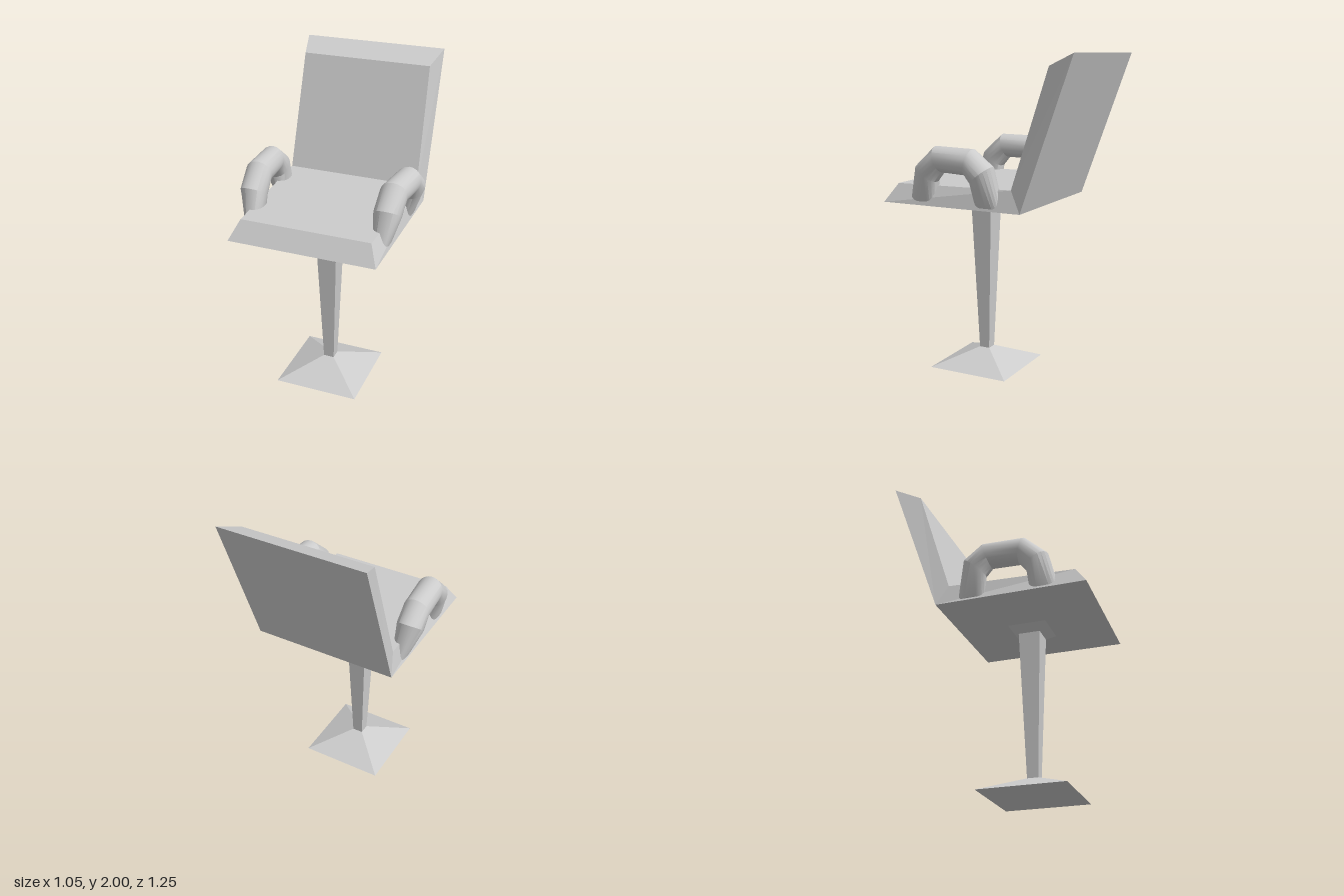
import * as THREE from 'three';
import { toCreasedNormals } from 'three/addons/utils/BufferGeometryUtils.js';

// Skin a stack of equal-sized rings (counter-clockwise about the direction of travel), capped at both ends.
function loft(rings) {
  const n = rings[0].length;
  const index = [];
  for (let r = 0; r < rings.length - 1; r++) {
    for (let i = 0; i < n; i++) {
      const a = r * n + i, b = r * n + (i + 1) % n;
      index.push(a, b, b + n, a, b + n, a + n);
    }
  }
  const last = (rings.length - 1) * n;
  for (let i = 1; i < n - 1; i++) {
    index.push(0, i + 1, i, last, last + i, last + i + 1);
  }
  const geometry = new THREE.BufferGeometry();
  geometry.setAttribute('position', new THREE.Float32BufferAttribute(rings.flat(2), 3));
  geometry.setIndex(index);
  return geometry;
}

// Four-cornered ring from a front edge and a rear edge, each given as [halfWidth, y, z].
function quad([fx, fy, fz], [rx, ry, rz]) {
  return [[fx, fy, fz], [rx, ry, rz], [-rx, ry, rz], [-fx, fy, fz]];
}

// Signed power: below 1 it squares off a circle.
const soften = (v, power) => Math.sign(v) * Math.abs(v) ** power;

export function createModel() {
  const model = new THREE.Group();
  const grey = new THREE.MeshStandardMaterial({ color: 0xcccccc });
  const flat = new THREE.MeshStandardMaterial({ color: 0xcccccc, flatShading: true });

  function add(name, geometry, material) {
    const mesh = new THREE.Mesh(geometry, material);
    mesh.name = name;
    model.add(mesh);
  }

  // Square foot, column and flared neck under the seat
  const axisZ = 0.16;
  const square = (h, y) => quad([h, y, axisZ + h], [h, y, axisZ - h]);
  const seatFront = [0.455, 1.1, 0.625], seatRear = [0.455, 1.1, -0.305];
  const hinge = [0.425, 1.23, -0.235];
  add('pedestal', loft([square(0.267, 0), square(0.034, 0.105), square(0.068, 1.02)]), flat);
  add('seatUnderside', loft([square(0.068, 1.02), square(0.12, 1.06), quad(seatFront, seatRear)]), flat);

  // Seat cushion with bevelled sides
  add('seat', loft([quad(seatFront, seatRear), quad([0.402, 1.215, 0.55], hinge)]), flat);

  // Backrest leaning to the rear
  add('backrest', loft([quad(hinge, seatRear), quad([0.412, 1.93, -0.46], [0.455, 2, -0.625])]), flat);

  // Armrests: outer [z, y], inner [z, y], centre x, half width and squareness at each bend
  const bends = [
    [[0.45, 1.115], [0.275, 1.115], 0.402, 0.046, 0.7],
    [[0.395, 1.34], [0.262, 1.245], 0.42, 0.083, 1],
    [[0.262, 1.46], [0.215, 1.305], 0.425, 0.083, 1],
    [[0, 1.456], [0.045, 1.3], 0.443, 0.081, 1],
    [[-0.125, 1.36], [0.01, 1.25], 0.445, 0.082, 1],
    [[-0.172, 1.115], [0, 1.115], 0.41, 0.044, 0.7],
  ];
  const sides = 20;
  for (const [name, side] of [['leftArmrest', 1], ['rightArmrest', -1]]) {
    const rings = bends.map(([outer, inner, cx, halfWidth, power]) => {
      const ring = [];
      for (let i = 0; i < sides; i++) {
        const t = i / sides * Math.PI * 2;
        const k = (1 + soften(Math.cos(t), power)) / 2;
        ring.push([
          side * cx + halfWidth * soften(Math.sin(t), power),
          inner[1] + (outer[1] - inner[1]) * k,
          inner[0] + (outer[0] - inner[0]) * k,
        ]);
      }
      return ring;
    });
    add(name, toCreasedNormals(loft(rings), 0.5), grey);
  }
  return model;
}
